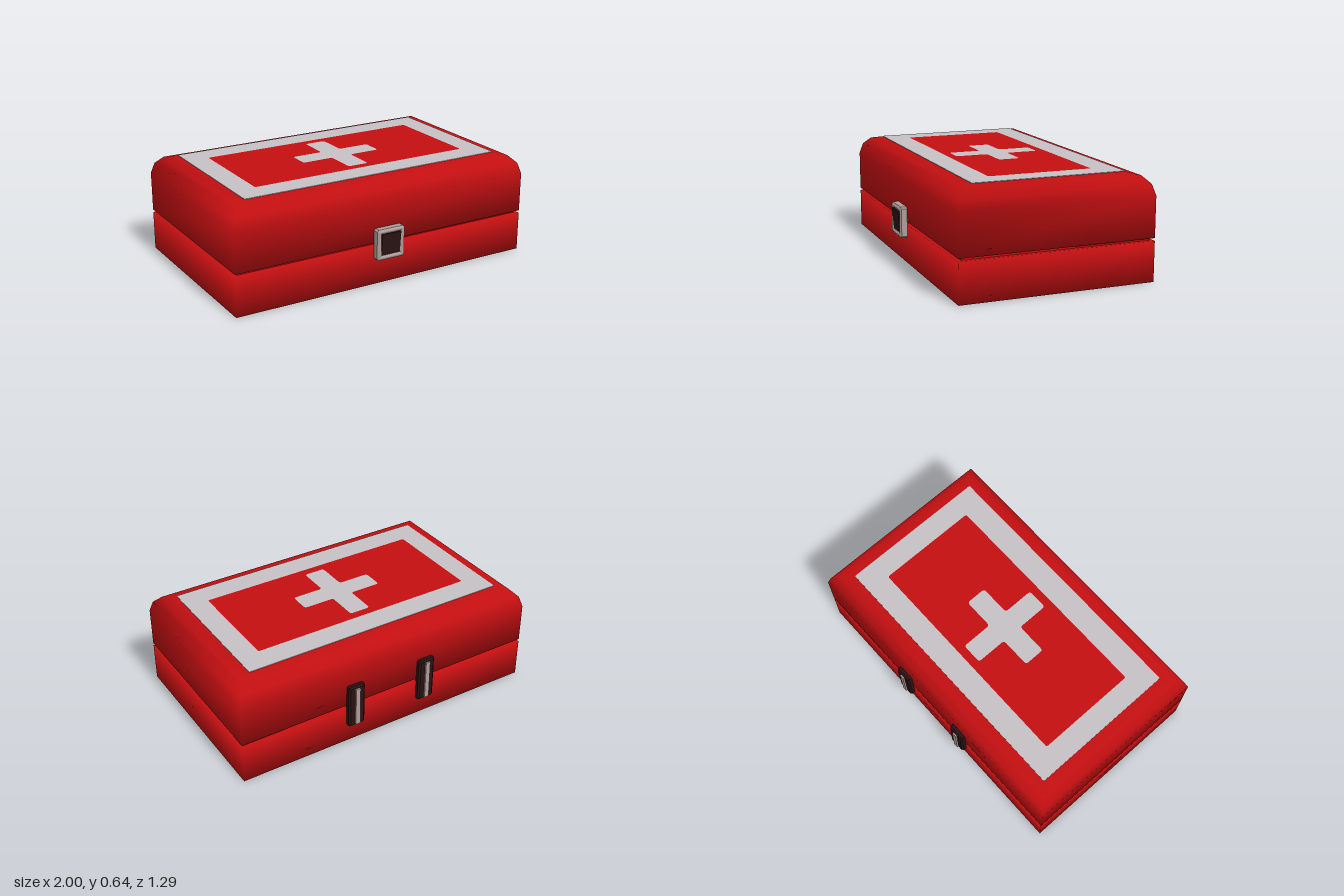
import * as THREE from 'three';

const paint = (name, color) => {
  const m = new THREE.MeshStandardMaterial({ color });
  m.name = name;
  return m;
};

// Closed loft of rectangular rings [halfX, halfZ, y], with shared corners for soft shading
function loft(rings) {
  const corners = [[1, 1], [1, -1], [-1, -1], [-1, 1]];
  const pos = [], idx = [];
  rings.forEach(([hx, hz, y], r) => {
    corners.forEach(([sx, sz], i) => {
      pos.push(sx * hx, y, sz * hz);
      if (r === 0) return;
      const a = (r - 1) * 4 + i, b = (r - 1) * 4 + (i + 1) % 4;
      idx.push(a, b, b + 4, a, b + 4, a + 4);
    });
  });
  const t = (rings.length - 1) * 4;
  idx.push(0, 2, 1, 0, 3, 2, t, t + 1, t + 2, t, t + 2, t + 3);
  const g = new THREE.BufferGeometry();
  g.setAttribute('position', new THREE.Float32BufferAttribute(pos, 3));
  g.setIndex(idx);
  g.computeVertexNormals();
  return g;
}

// Outline through the given points with small rounded corners
function outline(points, r, Type = THREE.Shape) {
  const p = points.map(([x, y]) => new THREE.Vector2(x, y));
  const s = new Type();
  p.forEach((c, i) => {
    const prev = p[(i + p.length - 1) % p.length], next = p[(i + 1) % p.length];
    const a = c.clone().add(prev.clone().sub(c).setLength(r));
    const b = c.clone().add(next.clone().sub(c).setLength(r));
    if (i) s.lineTo(a.x, a.y); else s.moveTo(a.x, a.y);
    s.quadraticCurveTo(c.x, c.y, b.x, b.y);
  });
  s.closePath();
  return s;
}
const rect = (w, h) => [[-w, -h], [w, -h], [w, h], [-w, h]];

export function createModel() {
  const red = paint('red', 0xc40f11);
  const white = paint('white', 0xc6c0c3);
  const metal = paint('metal', 0xb09c98);
  const dark = paint('dark', 0x2a1213);

  const model = new THREE.Group();
  model.name = 'medicalCase';
  const add = (parent, name, geo, mat, x = 0, y = 0, z = 0) => {
    const m = new THREE.Mesh(geo, mat);
    m.name = name;
    m.position.set(x, y, z);
    parent.add(m);
    return m;
  };

  // Case body: base, recessed seam and rounded lid
  const zc = -0.005;
  add(model, 'base', loft([[1, 0.6, 0], [1, 0.6, 0.245]]), red, 0, 0, zc);
  add(model, 'seam', new THREE.BoxGeometry(1.95, 0.04, 1.15), red, 0, 0.253, zc);
  const lidProfile = [[0, 0.262], [0, 0.51], [0.02, 0.577], [0.065, 0.622], [0.135, 0.637]];
  add(model, 'lid', loft(lidProfile.map(([d, y]) => [1 - d, 0.6 - d, y])), red, 0, 0, zc);

  // Painted top: border, inner panel and cross, fitted into one another
  const plate = (name, shape, mat) => {
    const g = new THREE.ExtrudeGeometry(shape, { depth: 0.003, bevelEnabled: false, curveSegments: 3 });
    add(model, name, g.rotateX(-Math.PI / 2), mat, 0, 0.637, zc);
  };
  const inner = rect(0.725, 0.32);
  const a = 0.067, l = 0.267;
  const cross = [[-a, -l], [a, -l], [a, -a], [l, -a], [l, a], [a, a],
    [a, l], [-a, l], [-a, a], [-l, a], [-l, -a], [-a, -a]];
  const border = outline(rect(0.865, 0.47), 0.006);
  border.holes.push(outline(inner, 0.012, THREE.Path));
  const panel = outline(inner, 0.012);
  panel.holes.push(outline(cross, 0.018, THREE.Path));
  plate('topBorder', border, white);
  plate('topPanel', panel, red);
  plate('topCross', outline(cross, 0.018), white);

  // Front clasp: bevelled square frame around a slanted button
  const clasp = new THREE.Group();
  clasp.name = 'clasp';
  clasp.position.set(0, 0.257, 0);
  model.add(clasp);
  const frame = outline(rect(0.083, 0.085), 0.004);
  frame.holes.push(outline(rect(0.077, 0.079), 0.004, THREE.Path));
  const frameGeo = new THREE.ExtrudeGeometry(frame, {
    depth: 0.036, bevelThickness: 0.008, bevelSize: 0.012, bevelSegments: 1, curveSegments: 1,
  });
  add(clasp, 'claspFrame', frameGeo, metal, 0, 0, 0.596);
  const button = new THREE.BoxGeometry(0.13, 0.135, 0.05);
  const p = button.attributes.position;
  for (let i = 0; i < p.count; i++) {
    if (p.getZ(i) > 0) p.setZ(i, p.getY(i) > 0 ? 0.05 : 0.038);
  }
  button.computeVertexNormals();
  add(clasp, 'claspButton', button, dark, 0, 0, 0.595);

  // Back hinges: dark bevelled plate with a metal pin
  for (const side of [-1, 1]) {
    const hinge = new THREE.Group();
    hinge.name = side > 0 ? 'leftHinge' : 'rightHinge';
    hinge.position.set(side * 0.25, 0.257, -0.6);
    hinge.rotation.y = Math.PI;
    model.add(hinge);
    const g = new THREE.ExtrudeGeometry(outline(rect(0.045, 0.132), 0.006), {
      depth: 0.025, bevelThickness: 0.01, bevelSize: 0.011, bevelSegments: 1, curveSegments: 2,
    });
    add(hinge, 'hingePlate', g, dark);
    add(hinge, 'hingePin', new THREE.BoxGeometry(0.03, 0.255, 0.03), metal, 0, 0, 0.03);
  }
  return model;
}
